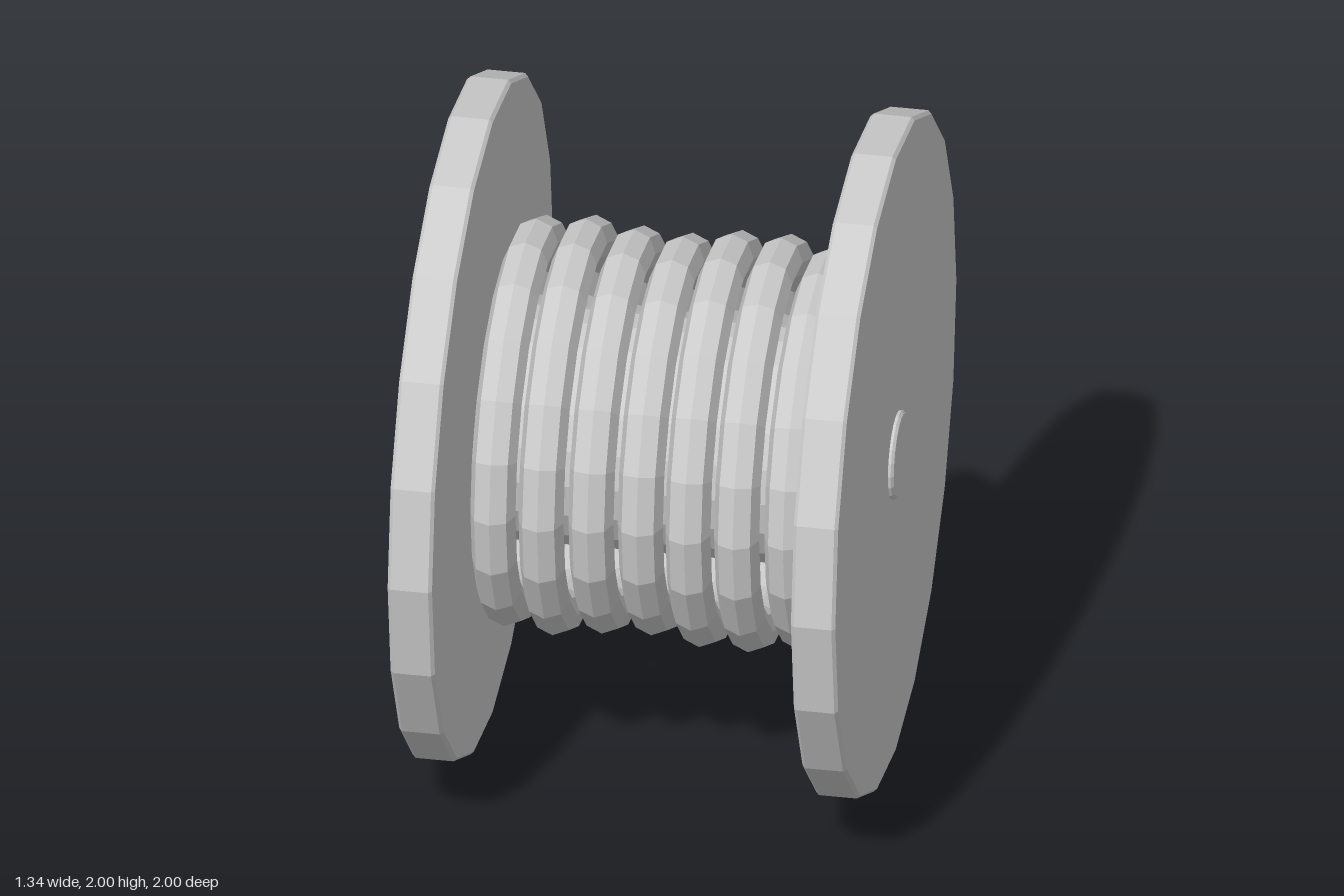
import * as THREE from 'three';

const SIDES = 20;
const material = new THREE.MeshStandardMaterial({ color: 0xcccccc, flatShading: true });

function addPart(group, name, geometry, x = 0) {
  const mesh = new THREE.Mesh(geometry, material);
  mesh.name = name;
  mesh.position.x = x;
  group.add(mesh);
}

// Solid disc along the x axis with small chamfered rims
function disc(radius, width, bevel) {
  const h = width / 2;
  const profile = [
    [0, -h], [radius - bevel, -h], [radius, -h + bevel],
    [radius, h - bevel], [radius - bevel, h], [0, h],
  ].map(([r, y]) => new THREE.Vector2(r, y));
  return new THREE.LatheGeometry(profile, SIDES).rotateZ(-Math.PI / 2);
}

export function createModel() {
  const model = new THREE.Group();
  model.name = 'cableReel';
  const reel = new THREE.Group();
  reel.name = 'reel';
  reel.position.y = 1;
  model.add(reel);

  // End flanges
  addPart(reel, 'leftFlange', disc(1, 0.13, 0.01), 0.59);
  addPart(reel, 'rightFlange', disc(1, 0.13, 0.01), -0.59);

  // Core drum and the axle that pokes through both flanges
  addPart(reel, 'drum', disc(0.345, 1.05, 0.01));
  addPart(reel, 'axle', disc(0.13, 1.342, 0.008));

  // Wound cable: slightly uneven loops side by side
  const tube = 0.066;
  const outerRadii = [0.598, 0.611, 0.593, 0.585, 0.606, 0.608, 0.586];
  outerRadii.forEach((radius, i) => {
    const loop = new THREE.TorusGeometry(radius - tube, tube, 8, SIDES).rotateY(Math.PI / 2);
    addPart(reel, `cableLoop${i + 1}`, loop, (i - 3) * 0.143);
  });

  return model;
}
